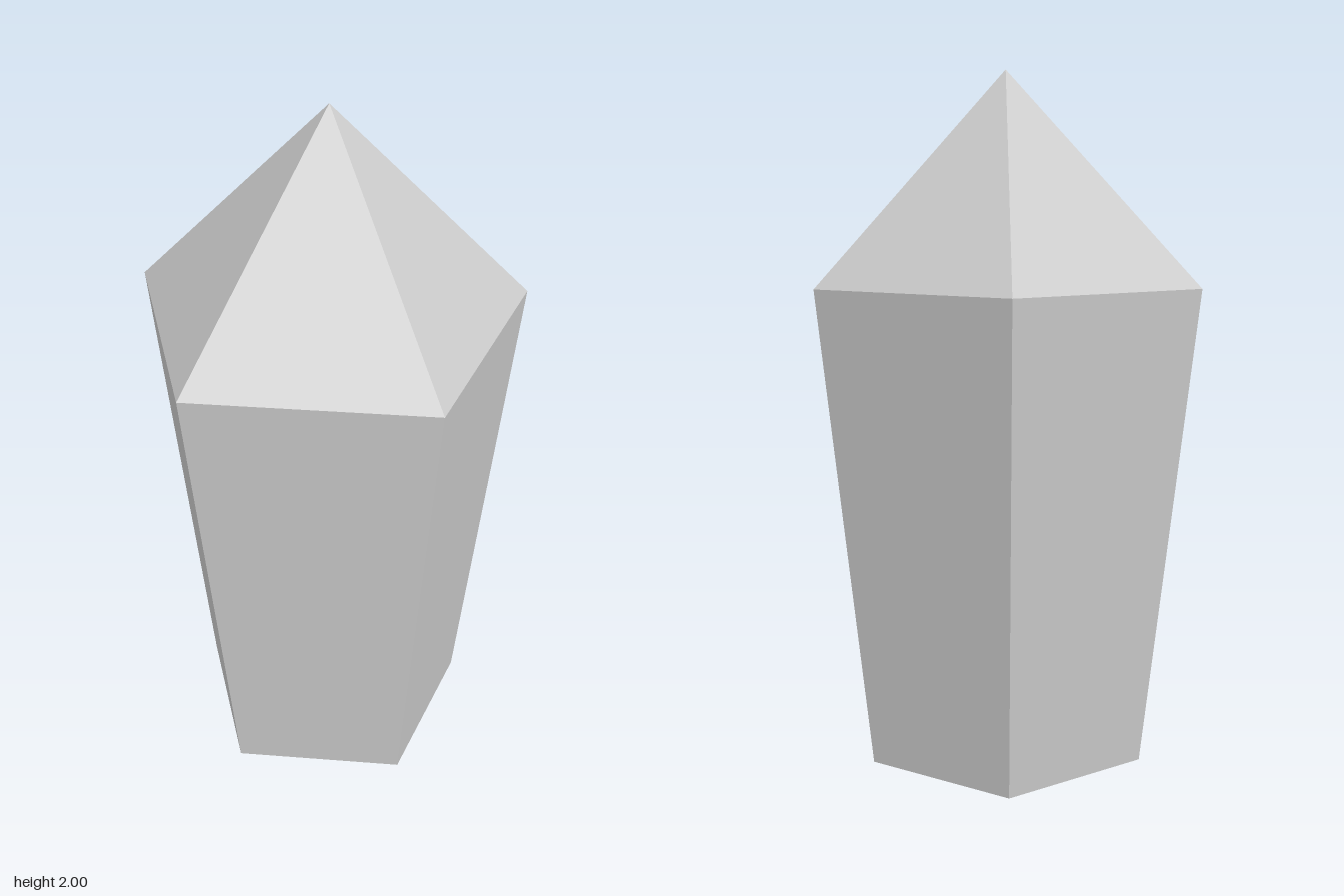
import * as THREE from 'three';

const SIDES = 5;
const SHOULDER = 1.39; // height where the body meets the tip
const HEIGHT = 2;
const RADIUS = 0.568;

// Five-sided tapered section from y0 to y1, with one corner facing the back.
// Each end ring is shifted to its own centre, so the section may lean slightly.
function section(y0, y1, bottom, top, open) {
  const geo = new THREE.CylinderGeometry(top.r, bottom.r, y1 - y0, SIDES, 1, open, Math.PI);
  geo.translate(0, (y0 + y1) / 2, 0);
  const pos = geo.attributes.position;
  for (let i = 0; i < pos.count; i++) {
    const t = (pos.getY(i) - y0) / (y1 - y0);
    pos.setX(i, pos.getX(i) + THREE.MathUtils.lerp(bottom.x, top.x, t));
    pos.setZ(i, pos.getZ(i) + THREE.MathUtils.lerp(bottom.z, top.z, t));
  }
  const flat = geo.toNonIndexed();
  flat.computeVertexNormals();
  return flat;
}

export function createModel() {
  const group = new THREE.Group();
  group.name = 'crystal';
  const grey = new THREE.MeshStandardMaterial({ color: 0xcccccc, flatShading: true });
  grey.name = 'crystal grey';

  const base = { r: 0.41, x: 0.004, z: 0.057 };
  const shoulder = { r: RADIUS, x: 0, z: 0.053 };
  const apex = { r: 0, x: 0.004, z: 0.053 };

  // Shaft, widening upwards, closed at the foot
  const body = new THREE.Mesh(section(0, SHOULDER, base, shoulder, false), grey);
  body.name = 'crystalBody';

  // Pointed top
  const tip = new THREE.Mesh(section(SHOULDER, HEIGHT, shoulder, apex, true), grey);
  tip.name = 'crystalTip';

  group.add(body, tip);
  return group;
}
